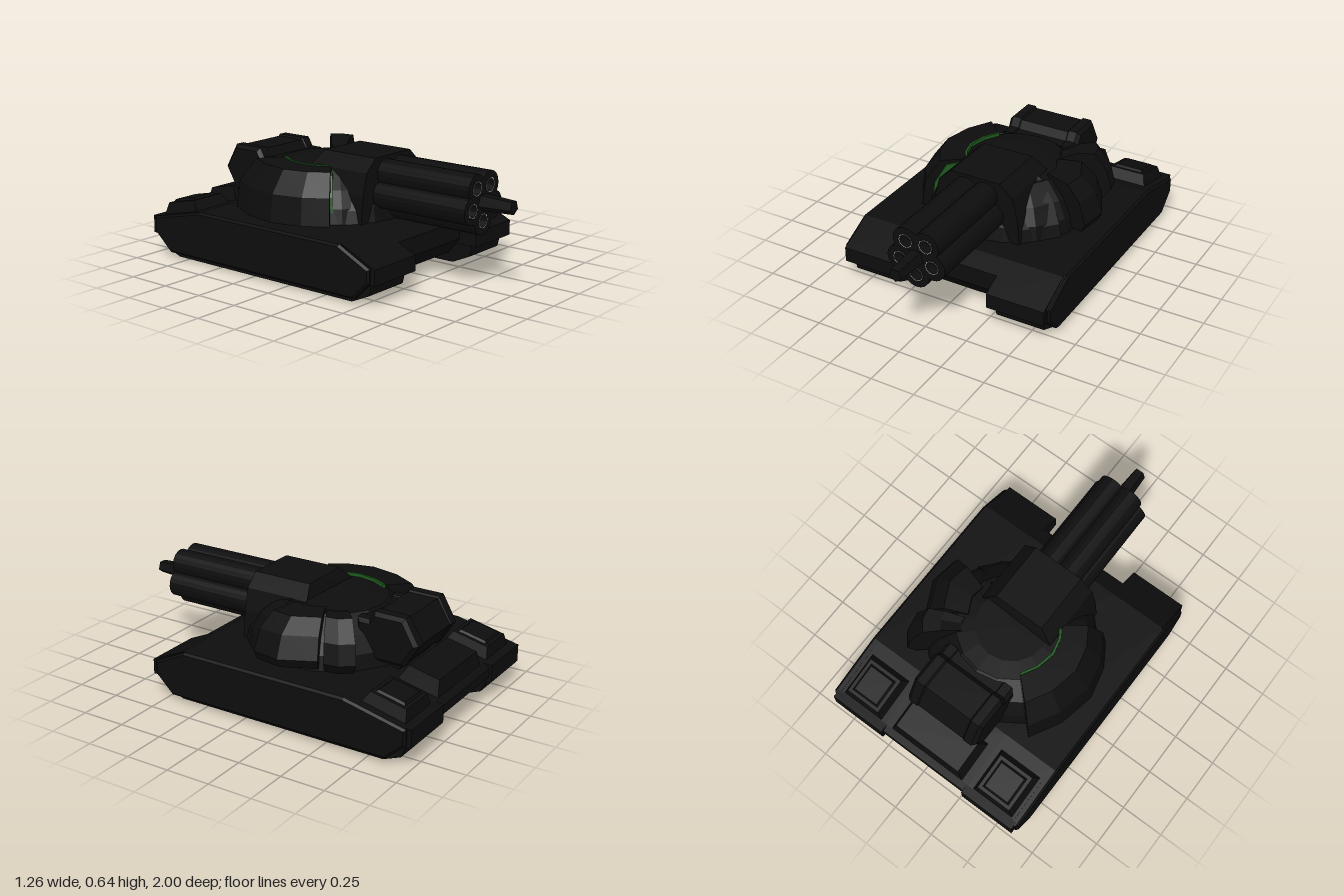
import * as THREE from 'three';

const material = (color, extra = {}) => new THREE.MeshStandardMaterial({ color, flatShading: true, ...extra });
const dark = material(0x0d0d0d);
const green = material(0x1f5a1f);
const grey = material(0xcccccc, { side: THREE.DoubleSide });

function add(parent, name, geometry, mat = dark) {
  const mesh = new THREE.Mesh(geometry, mat);
  mesh.name = name;
  parent.add(mesh);
  return mesh;
}

const shapeOf = (points) => new THREE.Shape(points.map(([a, b]) => new THREE.Vector2(a, b)));

// Side profile of [z, y] points extruded from x0 to x1, with optional chamfer
function sideExtrude(points, x0, x1, bevel = 0) {
  const geo = new THREE.ExtrudeGeometry(shapeOf(points), {
    depth: x1 - x0 - 2 * bevel, bevelEnabled: bevel > 0,
    bevelThickness: bevel, bevelSize: bevel, bevelOffset: -bevel, bevelSegments: 1,
  });
  return geo.rotateY(-Math.PI / 2).translate(x1 - bevel, 0, 0);
}

// Box with a smaller top, standing on y = 0
function frustum(w, d, h, inset) {
  const geo = new THREE.BoxGeometry(w, h, d).translate(0, h / 2, 0);
  const p = geo.attributes.position;
  for (let i = 0; i < p.count; i++) {
    if (p.getY(i) > h / 2) {
      p.setX(i, p.getX(i) - Math.sign(p.getX(i)) * inset);
      p.setZ(i, p.getZ(i) - Math.sign(p.getZ(i)) * inset);
    }
  }
  return geo;
}

// Armour plate: [radius, y] profile swept round the turret axis;
// each step is [angle in degrees, radius scale]
const TURRET_Z = -0.18;
function sector(profile, steps) {
  const rings = steps.map(([deg, s]) => {
    const a = THREE.MathUtils.degToRad(deg);
    return profile.map(([r, y]) => [Math.cos(a) * r * s, y, TURRET_Z + Math.sin(a) * r * s]);
  });
  const out = [];
  const tri = (a, b, c) => out.push(...a, ...b, ...c);
  const n = profile.length;
  for (let k = 0; k < rings.length - 1; k++) {
    for (let i = 0; i < n; i++) {
      const j = (i + 1) % n, p = rings[k], q = rings[k + 1];
      tri(p[i], p[j], q[j]);
      tri(p[i], q[j], q[i]);
    }
  }
  const first = rings[0], last = rings[rings.length - 1];
  for (let i = 1; i < n - 1; i++) {
    tri(first[0], first[i + 1], first[i]);
    tri(last[0], last[i], last[i + 1]);
  }
  const geo = new THREE.BufferGeometry();
  geo.setAttribute('position', new THREE.Float32BufferAttribute(out, 3));
  geo.computeVertexNormals();
  return geo;
}

function buildHull() {
  const hull = new THREE.Group();
  hull.name = 'hull';
  add(hull, 'hullBody', sideExtrude([
    [0.48, 0.15], [0.48, 0.253], [0.38, 0.3], [-0.62, 0.3], [-0.95, 0.225],
    [-0.985, 0.2], [-0.985, 0.15], [-0.87, 0.055], [0.4, 0.055]].reverse(), -0.285, 0.285));

  const fender = [[0.59, 0.12], [0.59, 0.205], [0.38, 0.3], [-0.62, 0.3], [-0.95, 0.225],
    [-1, 0.22], [-1, 0.12]].reverse();
  const track = [[0.55, 0.13], [0.53, 0.05], [0.42, 0], [-0.83, 0], [-0.93, 0.04],
    [-0.965, 0.13]].reverse();
  const skirt = [[0.565, 0.205], [0.37, 0.3], [-0.62, 0.3], [-0.975, 0.22], [-0.975, 0.13],
    [-0.86, 0.03], [0.46, 0.03], [0.565, 0.13]];
  for (const side of [-1, 1]) {
    const span = (a, b) => (side > 0 ? [a, b] : [-b, -a]);
    add(hull, 'fender', sideExtrude(fender, ...span(0.275, 0.61)));
    add(hull, 'track', sideExtrude(track, ...span(0.302, 0.581)));
    add(hull, 'sideSkirt', sideExtrude(skirt, ...span(0.581, 0.63), 0.012));

    // Raised vent on each sloping rear corner
    const vent = new THREE.Group();
    vent.name = 'rearVent';
    add(vent, 'ventBase', frustum(0.26, 0.26, 0.065, 0.025));
    add(vent, 'ventCap', frustum(0.17, 0.17, 0.012, 0.01)).position.y = 0.065;
    vent.position.set(side * 0.445, 0.25, -0.82);
    vent.rotation.x = -0.22;
    hull.add(vent);
  }
  const cover = add(hull, 'engineCover', frustum(0.48, 0.24, 0.085, 0.03));
  cover.position.set(0, 0.25, -0.83);
  cover.rotation.x = -0.22;
  return hull;
}

function buildTurret() {
  const turret = new THREE.Group();
  turret.name = 'turret';
  const dome = [[0.47, 0.29], [0.45, 0.38], [0.4, 0.47], [0.3, 0.555], [0.2, 0.565], [0, 0.565]];
  add(turret, 'dome', new THREE.LatheGeometry(
    dome.map(([r, y]) => new THREE.Vector2(r, y)), 16)).position.z = TURRET_Z;

  // Side armour: one long plate on the right, two overlapping ones on the left
  add(turret, 'rightArmour', sector(
    [[0.25, 0.3], [0.53, 0.3], [0.51, 0.45], [0.42, 0.57], [0.27, 0.572]],
    [[143, 0.96], [160, 0.98], [180, 1], [203, 1], [224, 1.03]]));
  add(turret, 'greenTrim', sector(
    [[0.35, 0.35], [0.47, 0.35], [0.455, 0.44], [0.385, 0.545], [0.29, 0.56], [0.27, 0.5]],
    [[141.5, 0.96], [143.5, 0.96]]), green);
  add(turret, 'greenTrim', sector(
    [[0.262, 0.55], [0.275, 0.55], [0.275, 0.578], [0.262, 0.578]],
    [[143, 0.96], [160, 0.98], [180, 1], [203, 1], [224, 1.03]]), green);
  add(turret, 'leftFrontArmour', sector(
    [[0.25, 0.3], [0.53, 0.32], [0.555, 0.37], [0.51, 0.49], [0.42, 0.565], [0.27, 0.572]],
    [[17, 1], [0, 1], [-22, 0.9]].reverse()));
  add(turret, 'leftRearArmour', sector(
    [[0.25, 0.3], [0.53, 0.32], [0.575, 0.38], [0.55, 0.49], [0.475, 0.6], [0.38, 0.6], [0.27, 0.565]],
    [[-26, 0.95], [-34, 1], [-43, 1]].reverse()));

  // Front cheeks
  const cheek = [[0.2, 0.3], [0.49, 0.3], [0.47, 0.37], [0.4, 0.48], [0.27, 0.57], [0.2, 0.57]];
  add(turret, 'cheek', sector(cheek, [[28, 0.98], [58, 0.98]]));
  add(turret, 'cheek', sector(cheek, [[122, 0.98], [152, 0.98]].slice(0, 2)));

  // Gun housing with a chamfered roof and a sloping rear edge
  const housing = shapeOf([[-0.27, 0.3], [0.27, 0.3], [0.255, 0.45], [0.225, 0.57],
    [0.15, 0.64], [-0.15, 0.64], [-0.225, 0.57], [-0.255, 0.45]]);
  const housingGeo = new THREE.ExtrudeGeometry(housing, { depth: 0.38, bevelEnabled: false })
    .translate(0, 0, -0.15);
  const p = housingGeo.attributes.position;
  for (let i = 0; i < p.count; i++) {
    if (p.getZ(i) < 0 && p.getY(i) > 0.6) p.setZ(i, -0.12);
  }
  housingGeo.computeVertexNormals();
  add(turret, 'gunHousing', housingGeo);

  // Rear bustle with raised end frames
  const bustle = [[-0.45, 0.33], [-0.73, 0.33], [-0.81, 0.46], [-0.73, 0.6], [-0.55, 0.6], [-0.52, 0.55], [-0.45, 0.55]];
  for (const x of [-0.225, 0.135]) {
    add(turret, 'bustleEnd', sideExtrude(bustle, x, x + 0.09, 0.02));
  }
  add(turret, 'bustle', sideExtrude(
    bustle.map(([z, y]) => [z * 0.97 - 0.018, (y - 0.46) * 0.93 + 0.46]), -0.16, 0.16));
  add(turret, 'bustleFoot', sideExtrude(
    [[-0.45, 0.29], [-0.68, 0.29], [-0.71, 0.34], [-0.45, 0.34]], -0.16, 0.16));
  return turret;
}

function buildGun() {
  const gun = new THREE.Group();
  gun.name = 'gun';
  const start = 0.15, end = 0.815;

  // Five clustered barrels, each with an open bore and bright liner
  const barrelShape = new THREE.Shape().absarc(0, 0, 0.076, 0, Math.PI * 2, false);
  barrelShape.holes.push(new THREE.Path().absarc(0, 0, 0.04, 0, Math.PI * 2, true));
  const barrelGeo = new THREE.ExtrudeGeometry(barrelShape,
    { depth: end - start, bevelEnabled: false, curveSegments: 10 });
  const linerGeo = new THREE.RingGeometry(0.035, 0.04, 10);
  const plugGeo = new THREE.CircleGeometry(0.042, 10);
  for (let i = 0; i < 5; i++) {
    const a = -Math.PI / 2 + (i * Math.PI * 2) / 5;
    const x = Math.cos(a) * 0.1, y = Math.sin(a) * 0.1;
    add(gun, 'barrel', barrelGeo).position.set(x, y, start);
    add(gun, 'boreLiner', linerGeo, grey).position.set(x, y, end + 0.001);
    add(gun, 'borePlug', plugGeo).position.set(x, y, end - 0.06);
  }

  // Tapered central spindle
  const spindle = new THREE.CylinderGeometry(0.038, 0.052, 0.25, 5).rotateX(Math.PI / 2);
  add(gun, 'spindle', spindle).position.z = 0.875;
  gun.position.y = 0.467;
  return gun;
}

export function createModel() {
  const model = new THREE.Group();
  model.name = 'tank';
  model.add(buildHull(), buildTurret(), buildGun());
  return model;
}
